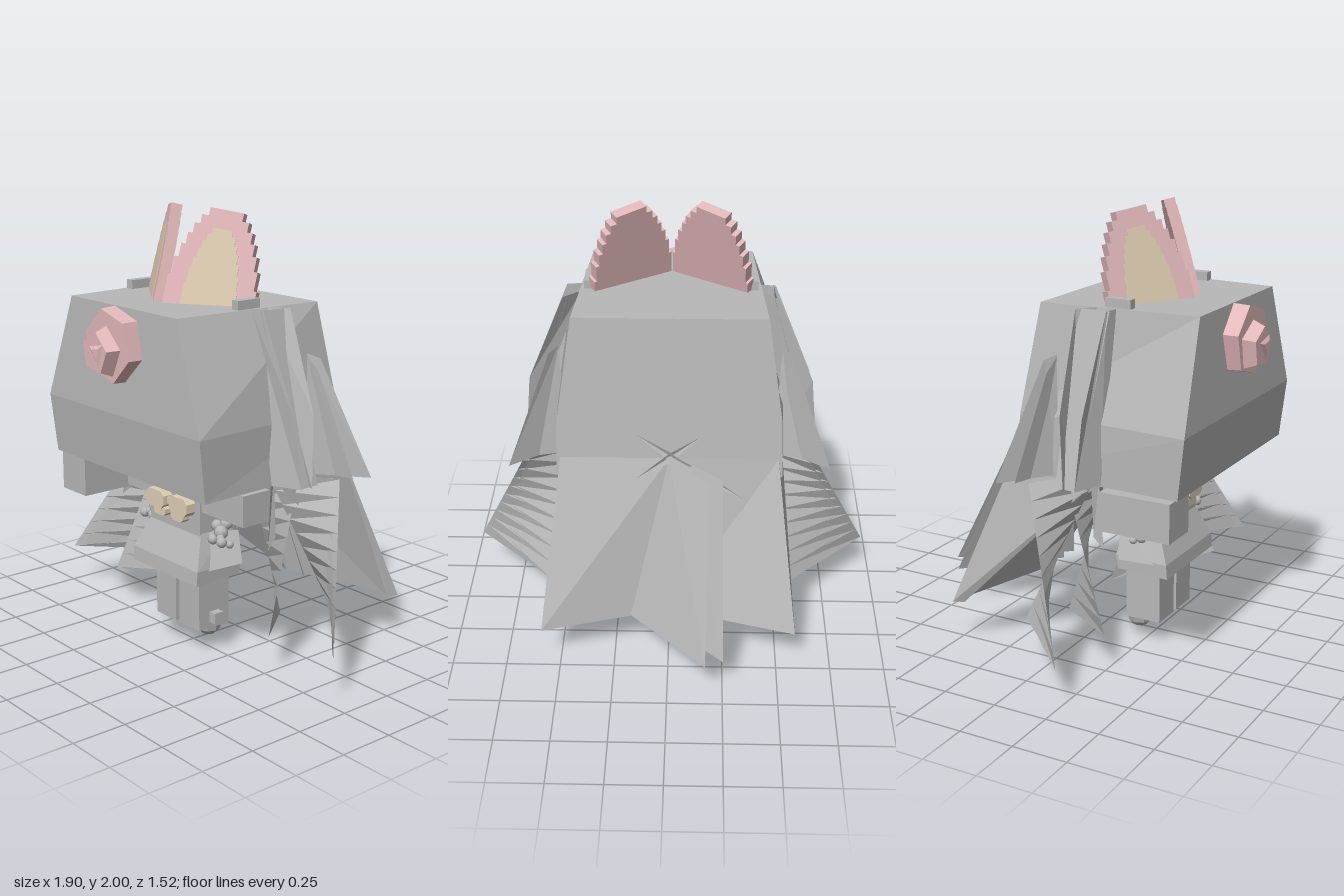
import * as THREE from 'three';

const mat = (name, hex, side = THREE.FrontSide) => {
  const m = new THREE.MeshStandardMaterial({ color: hex, side });
  m.name = name;
  return m;
};

export function createModel() {
  const root = new THREE.Group();
  const grey = mat('grey', 0xb8b8b8, THREE.DoubleSide);
  const pink = mat('pink', 0xe2b8ba);
  const cream = mat('cream', 0xdccbb0);
  const beige = mat('beige', 0xdfcfb6);
  const teal = mat('teal', 0x70cec6, THREE.DoubleSide);

  const add = (name, geo, m, parent = root) => {
    const mesh = new THREE.Mesh(geo, m);
    mesh.name = name;
    parent.add(mesh);
    return mesh;
  };
  const box = (name, m, x0, x1, y0, y1, z0, z1) => {
    const b = add(name, new THREE.BoxGeometry(x1 - x0, y1 - y0, z1 - z0), m);
    b.position.set((x0 + x1) / 2, (y0 + y1) / 2, (z0 + z1) / 2);
    return b;
  };
  const faceted = (geo) => {
    const g = geo.toNonIndexed();
    g.computeVertexNormals();
    return g;
  };
  // Flat-faced geometry from a list of convex polygons
  const faces = (polys) => {
    const pos = [];
    for (const p of polys)
      for (let i = 1; i < p.length - 1; i++) pos.push(...p[0], ...p[i], ...p[i + 1]);
    const g = new THREE.BufferGeometry();
    g.setAttribute('position', new THREE.Float32BufferAttribute(pos, 3));
    g.computeVertexNormals();
    return g;
  };
  // Four-sided loft; ring = [y, half width front, half width back, z front, z back]
  const loft = (rings) => {
    const r = rings.map(([y, f, b, zf, zb]) => [[-f, y, zf], [f, y, zf], [b, y, zb], [-b, y, zb]]);
    const polys = [[...r[0]].reverse(), r[r.length - 1]];
    for (let k = 0; k < r.length - 1; k++)
      for (let i = 0; i < 4; i++) {
        const j = (i + 1) % 4;
        polys.push([r[k][i], r[k][j], r[k + 1][j], r[k + 1][i]]);
      }
    return faces(polys);
  };
  // Thin panels mirrored to both sides
  const pairOf = (name, polys, m = grey) => {
    for (const s of [1, -1]) {
      const side = polys.map((poly) => {
        const p = poly.map(([x, y, z]) => [s * x, y, z]);
        return s > 0 ? p : p.reverse();
      });
      add((s > 0 ? 'left ' : 'right ') + name, faces(side), m);
    }
  };
  const pair = (name, pts, m) => pairOf(name, [pts], m);
  // Twisted panel ruled between an outer and an inner edge, each running top to bottom
  const twisted = (name, outerTop, outerEnd, innerTop, innerEnd) => {
    const n = 10;
    const at = (a, b, t) => a.map((v, i) => v + (b[i] - v) * t);
    const strips = [];
    for (let i = 0; i < n; i++) {
      const t = i / n, u = (i + 1) / n;
      strips.push([at(outerTop, outerEnd, t), at(innerTop, innerEnd, t), at(innerTop, innerEnd, u), at(outerTop, outerEnd, u)]);
    }
    pairOf(name, strips);
  };

  // Large block of hair
  add('hair block', loft([
    [0.86, 0.54, 0.51, 0.61, -0.2],
    [1.13, 0.545, 0.5, 0.64, -0.165],
    [1.6, 0.375, 0.43, 0.62, -0.1],
  ]), grey);

  // Side locks and upper wings
  pair('side lock front', [[0.4, 1.6, 0.25], [0.54, 0.87, 0.25], [0.67, 0.87, 0.2], [0.64, 1.18, 0.22], [0.47, 1.6, 0.24]]);
  pair('side lock face', [[0.46, 1.6, 0.25], [0.46, 1.6, 0.1], [0.66, 0.87, 0.1], [0.66, 0.87, 0.2]]);
  pair('side lock rear', [[0.4, 1.6, 0.17], [0.48, 1.6, 0.1], [0.65, 1.18, 0.12], [0.68, 0.87, 0.15], [0.5, 0.87, 0.12]]);
  pair('upper wing', [[0.5, 1.4, 0.02], [0.54, 1.38, -0.02], [0.73, 0.87, -0.15], [0.5, 0.87, 0.02]]);
  pair('upper wing layer', [[0.5, 1.39, 0.02], [0.55, 1.33, 0], [0.69, 0.87, -0.08], [0.47, 0.87, -0.02]]);
  pair('lock tip', [[0.43, 0.88, 0.14], [0.5, 0.88, 0.22], [0.53, 0.58, 0.26], [0.51, 0.62, 0.2]]);
  for (const s of [-1, 1]) box('lock root', grey, s * 0.37 - 0.02, s * 0.37 + 0.02, 1.58, 1.64, 0.19, 0.31);

  // Lower wings, twisted so that their edges cross when seen from the side
  twisted('lower wing', [0.66, 0.87, -0.03], [0.95, 0.2, 0.27], [0.43, 0.87, 0.17], [0.56, 0.2, -0.11]);
  twisted('lower wing layer', [0.63, 0.87, -0.02], [0.91, 0.21, 0.24], [0.43, 0.87, 0.14], [0.57, 0.2, -0.11]);
  twisted('inner wing', [0.47, 0.87, 0.03], [0.56, 0.2, 0.28], [0.28, 0.87, 0.15], [0.2, 0.1, -0.11]);

  // Cape at the back
  pair('cape back', [[0, 0.95, -0.195], [0, 0.2, -0.33], [0.58, 0.2, -0.5], [0.49, 0.95, -0.195]]);
  pair('cape side', [[0.49, 0.95, -0.195], [0.58, 0.2, -0.5], [0.56, 0.2, -0.45], [0.52, 0.86, 0.2]]);

  // Two tail panels trailing diagonally from the centre of the back
  add('tail panel', faces([[[0, 0.94, -0.2], [-0.18, 0.94, -0.38], [-0.17, 0.22, -0.76], [0.22, 0.2, -0.33]]]), grey);
  add('tail panel layer', faces([[[-0.07, 0.94, -0.2], [-0.24, 0.94, -0.36], [-0.25, 0.2, -0.7], [0.12, 0.2, -0.33]]]), grey);

  // Crossed slivers on the back; ends are [x, y, z]
  const slivers = [
    [[-0.14, 1.06, -0.19], [0.15, 0.86, -0.23]],
    [[-0.15, 0.88, -0.23], [0.15, 1.07, -0.19]],
    [[-0.34, 0.78, -0.27], [0.04, 1.0, -0.2]],
  ];
  for (const [a, b] of slivers) {
    const mid = a.map((v, i) => (v + b[i]) / 2);
    const shift = (d) => [mid[0], mid[1] + d, mid[2] - 0.01];
    add('back sliver', faces([[a, shift(-0.025), b, shift(0.025)]]), grey);
  }

  // Stepped ears with a cream inner plate; steps = [height, half width above it]
  const steps = [[-0.06, 0.2], [0.1, 0.187], [0.18, 0.17], [0.24, 0.15], [0.29, 0.13], [0.335, 0.105], [0.375, 0.075], [0.41, 0]];
  const earGeo = (k, lift, depth) => {
    const right = [];
    for (let i = 0; i < steps.length - 1; i++) {
      const w = steps[i][1] * k;
      right.push([w, steps[i][0] * lift], [w, steps[i + 1][0] * lift]);
    }
    const pts = [...right, ...right.map(([x, y]) => [-x, y]).reverse()].map((p) => new THREE.Vector2(...p));
    return new THREE.ExtrudeGeometry(new THREE.Shape(pts), { depth, bevelEnabled: false });
  };
  for (const s of [1, -1]) {
    const ear = new THREE.Group();
    ear.name = s > 0 ? 'left ear' : 'right ear';
    add('ear shell', earGeo(1, 1, 0.05), pink, ear).position.z = -0.025;
    add('ear lining', earGeo(0.6, 0.8, 0.005), cream, ear).position.z = 0.022;
    ear.position.set(s * 0.185, 1.59, 0.3);
    ear.rotation.set(-0.28, s * 0.57, 0);
    root.add(ear);
  }

  // Faceted rosette on the brow
  const rosette = (name, r0, r1, n, z0, z1, x, y, turn) => {
    const g = faceted(new THREE.CylinderGeometry(r1, r0, z1 - z0, n));
    g.rotateX(Math.PI / 2).rotateZ(turn);
    add(name, g, pink).position.set(x, y, (z0 + z1) / 2);
  };
  rosette('rosette base', 0.165, 0.16, 6, 0.58, 0.695, -0.005, 1.44, 0.25);
  rosette('rosette middle', 0.115, 0.09, 5, 0.69, 0.75, -0.02, 1.415, 0.5);
  rosette('rosette tip', 0.06, 0.03, 3, 0.75, 0.76, 0, 1.42, 0.2);

  // Body, arms and legs
  box('neck', grey, -0.12, 0.12, 0.8, 0.88, 0.19, 0.33);
  box('torso', grey, -0.18, 0.18, 0.4, 0.815, 0.18, 0.35);
  box('arms', grey, -0.4, 0.46, 0.68, 0.82, 0.19, 0.34);
  box('raised forearm', grey, -0.55, -0.37, 0.67, 0.845, 0.25, 0.58);
  // Collar pieces with clipped corners
  const clipped = (name, x, y, w, h, c, z0, z1) => {
    const pts = [[w - c, -h], [w, c - h], [w, h - c], [w - c, h], [c - w, h], [-w, h - c], [-w, c - h], [c - w, -h]];
    const shape = new THREE.Shape(pts.map((p) => new THREE.Vector2(...p)));
    add(name, new THREE.ExtrudeGeometry(shape, { depth: z1 - z0, bevelEnabled: false }), beige).position.set(x, y, z0);
  };
  for (const s of [-1, 1]) {
    const x = s * 0.085;
    box('leg', grey, x - 0.072, x + 0.072, 0.11, 0.4, 0.17, 0.34);
    clipped('collar piece', s * 0.083, 0.695, 0.064, 0.04, 0.02, 0.34, 0.4);
    clipped('collar drop', s * 0.063, 0.642, 0.042, 0.022, 0.012, 0.34, 0.39);
  }
  box('collar bridge', beige, -0.03, 0.03, 0.685, 0.71, 0.34, 0.38);
  box('leg pocket', grey, 0.155, 0.195, 0.14, 0.19, 0.23, 0.28);

  // Skirt with side flaps
  add('skirt', loft([
    [0.365, 0.235, 0.22, 0.415, 0.16],
    [0.43, 0.235, 0.22, 0.41, 0.15],
    [0.58, 0.18, 0.18, 0.345, 0.18],
  ]), grey);
  pair('skirt flap', [[0.18, 0.58, 0.3], [0.23, 0.42, 0.35], [0.29, 0.44, 0.2], [0.24, 0.58, 0.18]]);
  pair('teal ribbon', [[0.16, 0.7, 0.17], [0.23, 0.7, 0.17], [0.22, 0.62, 0.14], [0.17, 0.55, 0.13]], teal);

  // Knobbly charms at the hips
  const knobs = [[0.2, 0.61, 0.27, 0.027], [0.23, 0.62, 0.24, 0.028], [0.24, 0.59, 0.28, 0.032],
    [0.22, 0.56, 0.31, 0.024], [0.28, 0.56, 0.31, 0.024], [0.3, 0.55, 0.28, 0.018], [0.26, 0.57, 0.3, 0.02]];
  for (const s of [1, -1])
    for (const [x, y, z, r] of knobs)
      add('charm knob', new THREE.SphereGeometry(r, 8, 6), grey).position.set(s * x, y, z);

  // Hanging cords and bell
  for (const s of [-1, 1]) {
    box('cord', pink, s * 0.02 - 0.006, s * 0.02 + 0.006, 0.1, 0.42, 0.14, 0.16);
    const bow = box('bell bow', beige, s * 0.035 - 0.03, s * 0.035 + 0.03, 0.08, 0.112, 0.16, 0.23);
    bow.rotation.z = -s * 0.25;
  }
  add('bell', faceted(new THREE.SphereGeometry(0.062, 8, 6)), grey).position.set(0, 0.062, 0.16);

  return root;
}
